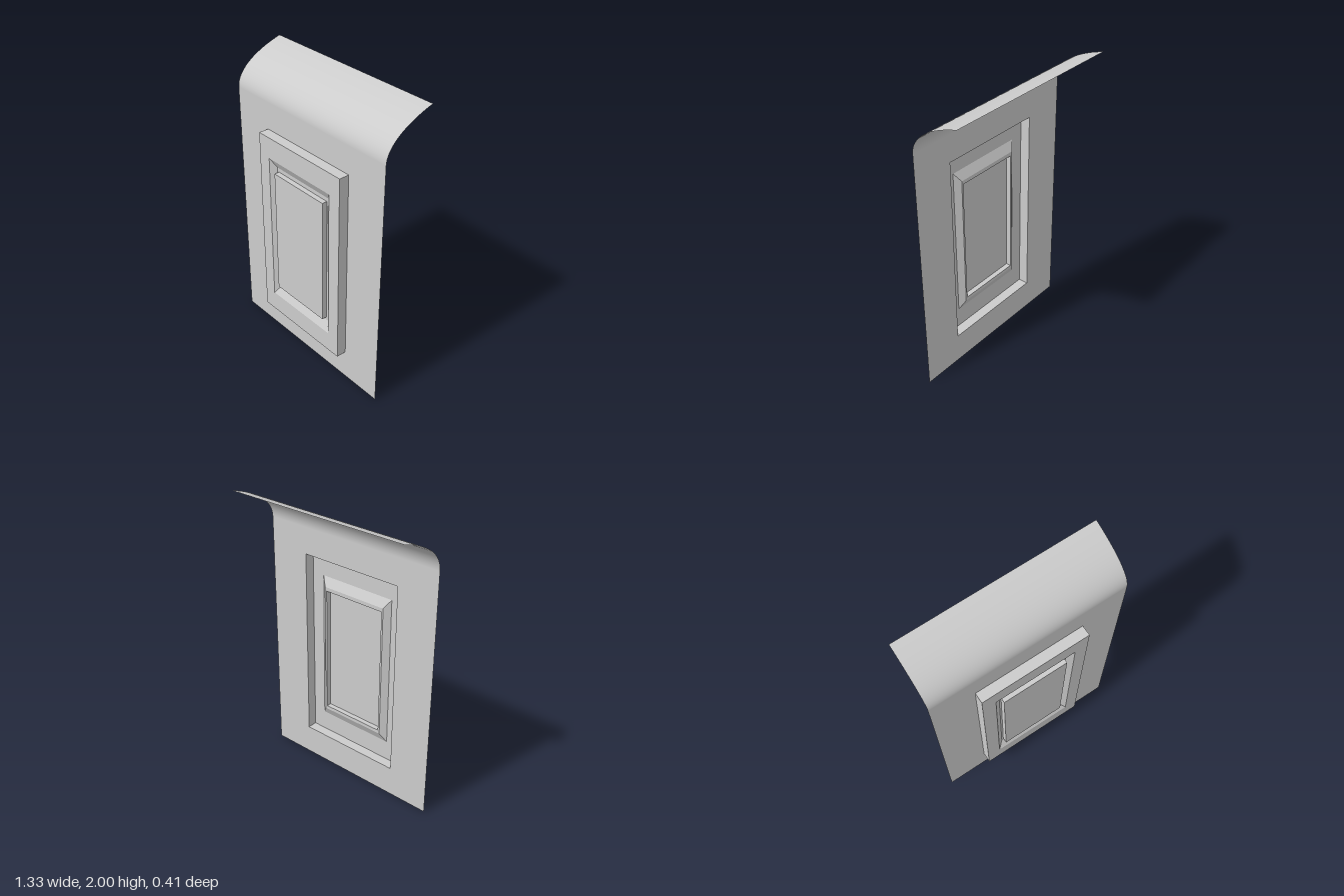
import * as THREE from 'three';
import { ParametricGeometry } from 'three/addons/geometries/ParametricGeometry.js';

const HALF_WIDTH = 0.663, SHEET_Z = 0.133, BEND_Y = 1.74;

// Rectangular outlines in nesting order: half width, bottom, top, depth
const outline = {
  sheetEdge: [HALF_WIDTH, 0, BEND_Y, SHEET_Z],
  frameBase: [0.372, 0.21, 1.557, SHEET_Z],
  frameFront: [0.372, 0.21, 1.557, 0.202],
  bevelOuter: [0.281, 0.35, 1.412, 0.202],
  bevelInner: [0.24, 0.414, 1.352, 0.17],
  panelBase: [0.227, 0.437, 1.325, 0.17],
  panelFront: [0.227, 0.437, 1.325, 0.205],
};

const corners = ([w, y0, y1, z]) => [[-w, y0, z], [w, y0, z], [w, y1, z], [-w, y1, z]];

// Four-sided bands between successive outlines, optionally closed by a flat face
function steppedSurface(name, names, closed, material) {
  const points = [];
  const quad = (a, b, c, d) => points.push(...a, ...b, ...c, ...a, ...c, ...d);
  const rings = names.map((n) => corners(outline[n]));
  for (let r = 0; r < rings.length - 1; r++) {
    for (let i = 0; i < 4; i++) {
      const j = (i + 1) % 4;
      quad(rings[r][i], rings[r][j], rings[r + 1][j], rings[r + 1][i]);
    }
  }
  if (closed) quad(...rings[rings.length - 1]);
  const geometry = new THREE.BufferGeometry();
  geometry.setAttribute('position', new THREE.Float32BufferAttribute(points, 3));
  geometry.computeVertexNormals();
  const mesh = new THREE.Mesh(geometry, material);
  mesh.name = name;
  return mesh;
}

export function createModel() {
  const group = new THREE.Group();
  group.name = 'pressedDoorPanel';
  const material = new THREE.MeshStandardMaterial({ color: 0xcccccc, side: THREE.DoubleSide });

  // One thin pressed sheet, open at the back
  group.add(
    steppedSurface('flatSheet', ['sheetEdge', 'frameBase'], false, material),
    steppedSurface('raisedFrame', ['frameBase', 'frameFront', 'bevelOuter'], false, material),
    steppedSurface('bevelledRecess', ['bevelOuter', 'bevelInner', 'panelBase'], false, material),
    steppedSurface('centrePanel', ['panelBase', 'panelFront'], true, material),
  );

  // Upper edge sweeping backwards
  const bend = new THREE.CubicBezierCurve3(
    new THREE.Vector3(0, BEND_Y, SHEET_Z),
    new THREE.Vector3(0, 1.86, SHEET_Z),
    new THREE.Vector3(0, 1.95, -0.02),
    new THREE.Vector3(0, 2, -0.205),
  );
  const sweep = (u, v, target) => {
    bend.getPoint(v, target);
    target.x = (u * 2 - 1) * HALF_WIDTH;
  };
  const curvedTop = new THREE.Mesh(new ParametricGeometry(sweep, 1, 20), material);
  curvedTop.name = 'curvedTop';
  group.add(curvedTop);
  return group;
}
